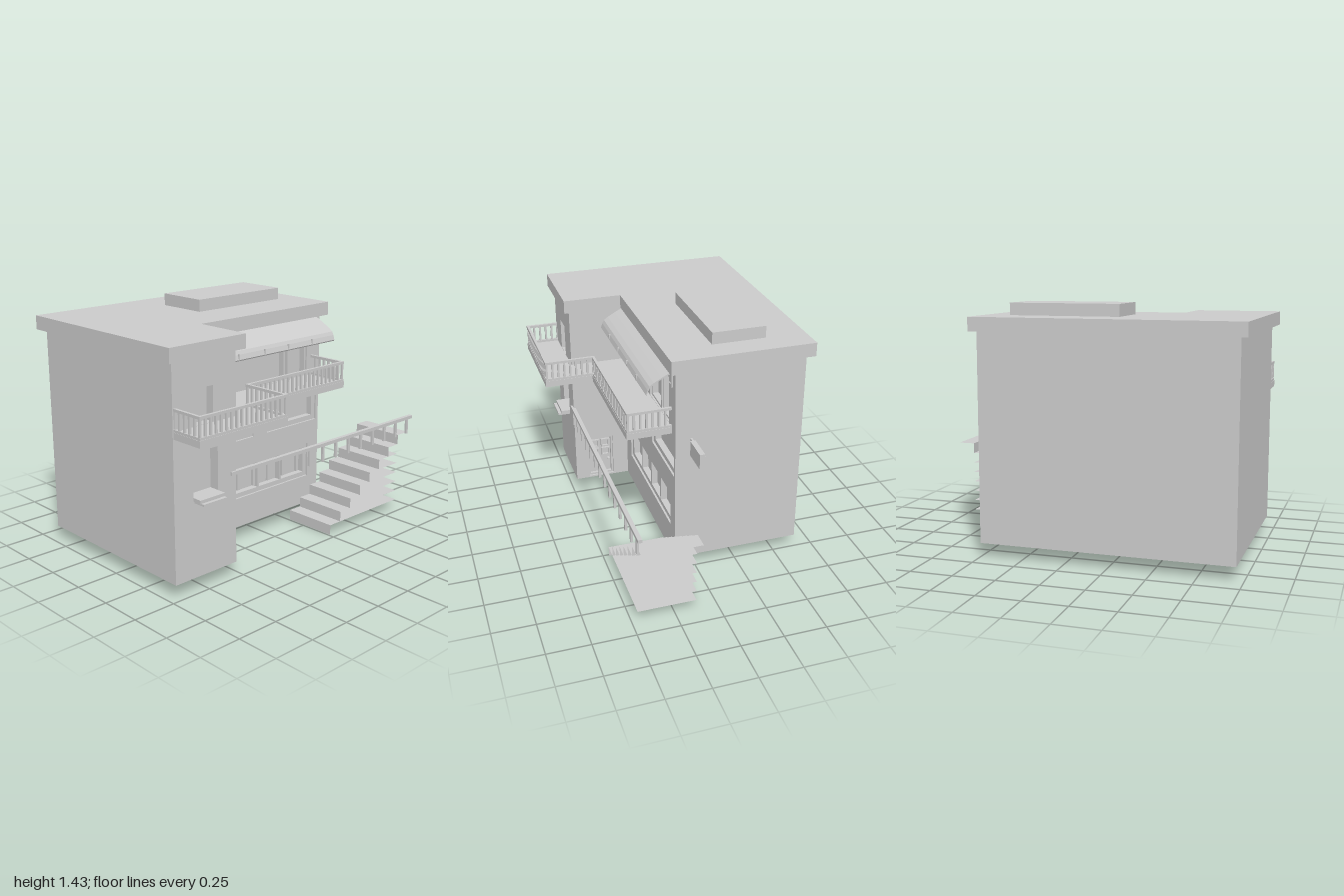
import * as THREE from 'three';

const mat = new THREE.MeshStandardMaterial({ color: 0xcccccc, side: THREE.DoubleSide, flatShading: true });

function add(parent, name, geo) {
  const m = new THREE.Mesh(geo, mat);
  m.name = name;
  parent.add(m);
  return m;
}

// Box given by its minimum and maximum on each axis
function box(parent, name, x0, x1, y0, y1, z0, z1) {
  const m = add(parent, name, new THREE.BoxGeometry(x1 - x0, y1 - y0, z1 - z0));
  m.position.set((x0 + x1) / 2, (y0 + y1) / 2, (z0 + z1) / 2);
  return m;
}

function group(parent, name) {
  const g = new THREE.Group();
  g.name = name;
  parent.add(g);
  return g;
}

const rectPoints = (x0, x1, y0, y1) =>
  [[x0, y0], [x1, y0], [x1, y1], [x0, y1]].map(p => new THREE.Vector2(...p));

// Recess lining: a box without its front
function recess(parent, [x0, x1, y0, y1], depth) {
  const geo = new THREE.BoxGeometry(x1 - x0, y1 - y0, depth);
  const idx = Array.from(geo.index.array);
  idx.splice(24, 6);
  geo.setIndex(idx);
  geo.clearGroups();
  add(parent, 'recess', geo).position.set((x0 + x1) / 2, (y0 + y1) / 2, -depth / 2);
}

// Frame bars around an opening, with mullions at the given x
function frame(parent, [x0, x1, y0, y1], w, z0, z1, mullions = []) {
  box(parent, 'frameSide', x0, x0 + w, y0, y1, z0, z1);
  box(parent, 'frameSide', x1 - w, x1, y0, y1, z0, z1);
  box(parent, 'frameBottom', x0 + w, x1 - w, y0, y0 + w, z0, z1);
  box(parent, 'frameTop', x0 + w, x1 - w, y1 - w, y1, z0, z1);
  for (const x of mullions) box(parent, 'mullion', x - 0.007, x + 0.007, y0 + w, y1 - w, z0, z1);
}

// Flat wall facing local +z, with openings cut and lined
function wall(parent, name, x0, x1, openings = []) {
  const g = group(parent, name);
  const shape = new THREE.Shape(rectPoints(x0, x1, 0.08, 1.28));
  for (const o of openings) {
    shape.holes.push(new THREE.Path(rectPoints(...o.rect)));
    recess(g, o.rect, o.depth);
    if (o.frame) frame(g, o.rect, o.frame, -o.depth, -0.012, o.mullions);
  }
  add(g, name + 'Face', new THREE.ShapeGeometry(shape));
  return g;
}

// Plan outline (x, z) raised from y0 to y1
function slab(parent, name, plan, y0, y1) {
  const shape = new THREE.Shape(plan.map(([x, z]) => new THREE.Vector2(x, -z)));
  const geo = new THREE.ExtrudeGeometry(shape, { depth: y1 - y0, bevelEnabled: false });
  geo.rotateX(-Math.PI / 2);
  add(parent, name, geo).position.y = y0;
}

function buildWalls(root) {
  const g = group(root, 'walls');
  wall(g, 'mainFrontWall', -0.53, 0.5, [
    { rect: [-0.43, 0.41, 0.26, 0.475], depth: 0.05, frame: 0.028, mullions: [-0.215, -0.01, 0.18] },
    { rect: [-0.5, -0.06, 0.62, 0.85], depth: 0.05, frame: 0.03 },
    { rect: [0.05, 0.48, 0.62, 0.85], depth: 0.05, frame: 0.03 },
    { rect: [0.015, 0.39, 0.92, 1.2], depth: 0.05, frame: 0.012, mullions: [0.205, 0.24] },
  ]).position.z = 0.125;
  wall(g, 'wingFrontWall', -0.96, -0.53, [
    { rect: [-0.83, -0.66, 0.53, 0.78], depth: 0.06 },
    { rect: [-0.81, -0.69, 0.92, 1.115], depth: 0.05 },
  ]).position.z = 0.475;

  // Wing side wall with the entrance door
  const side = wall(g, 'wingSideWall', -0.475, -0.125, [
    { rect: [-0.39, -0.225, 0.09, 0.37], depth: 0.03, frame: 0.012 }]);
  side.position.x = -0.53;
  side.rotation.y = Math.PI / 2;
  for (const x of [-0.37, -0.3])
    for (const y of [0.225, 0.29])
      frame(side, [x, x + 0.055, y, y + 0.055], 0.008, -0.03, -0.015);
  box(side, 'doorHandle', -0.262, -0.247, 0.19, 0.2, -0.03, -0.005);
  box(side, 'mailSlot', -0.35, -0.29, 0.15, 0.17, -0.03, -0.02);

  const right = wall(g, 'rightWall', -0.125, 0.635);
  right.position.x = 0.5;
  right.rotation.y = Math.PI / 2;
  const back = wall(g, 'backWall', -0.5, 0.96);
  back.position.z = -0.635;
  back.rotation.y = Math.PI;
  const left = wall(g, 'leftWall', -0.635, 0.475);
  left.position.x = -0.96;
  left.rotation.y = -Math.PI / 2;

  box(g, 'windowSill', -0.83, -0.66, 0.515, 0.535, 0.415, 0.53);
  box(g, 'sillLip', -0.825, -0.665, 0.505, 0.517, 0.475, 0.55);
}

function buildBalcony(root) {
  const g = group(root, 'balcony');
  slab(g, 'balconyFloor', [[-0.955, 0.475], [-0.955, 0.675], [-0.34, 0.675], [-0.34, 0.385],
    [0.44, 0.385], [0.44, 0.125], [-0.53, 0.125], [-0.53, 0.475]], 0.88, 0.918);
  const path = [[-0.945, 0.475], [-0.945, 0.665], [-0.35, 0.665], [-0.35, 0.375], [0.43, 0.375], [0.43, 0.125]];
  for (let i = 0; i < path.length - 1; i++) {
    const [ax, az] = path[i], [bx, bz] = path[i + 1], h = 0.008;
    const x0 = Math.min(ax, bx) - h, x1 = Math.max(ax, bx) + h;
    const z0 = Math.min(az, bz) - h, z1 = Math.max(az, bz) + h;
    box(g, 'topRail', x0, x1, 1.025, 1.04, z0, z1);
    box(g, 'bottomRail', x0, x1, 0.915, 0.932, z0, z1);
    const n = Math.round(Math.hypot(bx - ax, bz - az) / 0.036);
    for (let k = 0; k < n; k++) {
      const x = ax + (bx - ax) * k / n, z = az + (bz - az) * k / n;
      box(g, 'baluster', x - 0.006, x + 0.006, 0.932, 1.025, z - 0.006, z + 0.006);
    }
  }
}

function buildAwning(root) {
  const g = group(root, 'awning');
  // Profile in (z, y), swept along x
  const curve = [[0.125, 1.275], [0.19, 1.243], [0.235, 1.218], [0.26, 1.2], [0.271, 1.18], [0.28, 1.152]];
  const inner = curve.map(([z, y]) => [z - 0.004, y - 0.007]).reverse();
  const shape = new THREE.Shape([...curve, ...inner].map(([z, y]) => new THREE.Vector2(-z, y)));
  const geo = new THREE.ExtrudeGeometry(shape, { depth: 0.98, bevelEnabled: false });
  geo.rotateY(Math.PI / 2);
  add(g, 'awningCloth', geo).position.x = -0.515;
  for (const x of [-0.32, -0.12, 0.07, 0.27])
    box(g, 'awningClip', x - 0.003, x + 0.003, 1.15, 1.185, 0.27, 0.28);
  for (const x of [-0.5, 0.45]) {
    box(g, 'awningBracket', x - 0.005, x + 0.005, 1.17, 1.255, 0.125, 0.134);
    const strut = box(g, 'awningStrut', x - 0.004, x + 0.004, 1.18, 1.25, 0.151, 0.157);
    strut.rotation.x = 0.75;
  }
}

function buildStairs(root) {
  const g = group(root, 'stairs');
  // Thin treads that all run back to the top riser
  for (let i = 0; i < 8; i++) {
    const x = 0.26 + 0.09 * i, y = 0.0625 * (i + 1), end = i < 7 ? 0.89 : 0.99;
    const tread = add(g, 'tread', new THREE.PlaneGeometry(end - x, 0.34));
    tread.rotation.x = -Math.PI / 2;
    tread.position.set((x + end) / 2, y, 0.295);
    const riser = add(g, 'riser', new THREE.PlaneGeometry(0.34, 0.0625));
    riser.rotation.y = -Math.PI / 2;
    riser.position.set(x, y - 0.03125, 0.295);
  }
  const rail = group(root, 'streetRailing');
  box(rail, 'handrail', -0.57, 1, 0.594, 0.614, 0.463, 0.487);
  for (let i = 0; i < 14; i++) {
    const x = -0.52 + i * 0.1135;
    box(rail, 'railPost', x - 0.008, x + 0.008, 0.5, 0.594, 0.471, 0.485);
  }
}

export function createModel() {
  const root = new THREE.Group();
  root.name = 'house';
  buildWalls(root);
  slab(root, 'roof', [[-1, -0.675], [-1, 0.51], [-0.49, 0.51], [-0.49, 0.16], [0.535, 0.16], [0.535, -0.675]], 1.28, 1.36);
  box(root, 'roofHatch', -0.26, 0.385, 1.36, 1.43, -0.435, -0.12);
  buildBalcony(root);
  buildAwning(root);
  buildStairs(root);
  // Hanging sign on the right wall
  const sign = group(root, 'sign');
  box(sign, 'signArm', 0.5, 0.715, 0.85, 0.866, 0.026, 0.038);
  box(sign, 'signBoard', 0.588, 0.745, 0.81, 0.9, 0.038, 0.068);
  return root;
}
